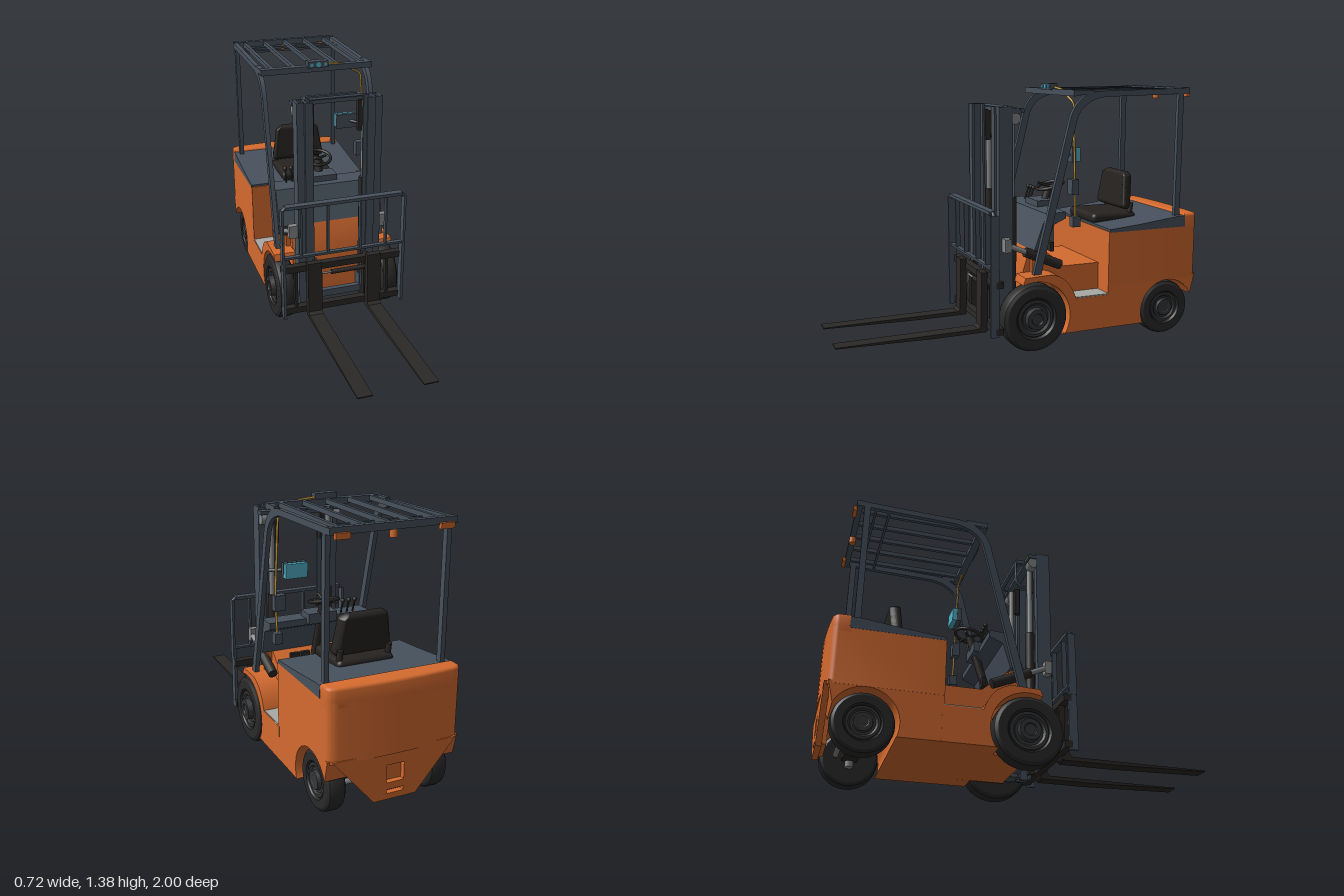
import * as THREE from 'three';
import { toCreasedNormals } from 'three/addons/utils/BufferGeometryUtils.js';
import { RoundedBoxGeometry } from 'three/addons/geometries/RoundedBoxGeometry.js';

const mat = (name, color) => {
  const m = new THREE.MeshStandardMaterial({ color });
  m.name = name;
  return m;
};

export function createModel() {
  const root = new THREE.Group();
  const orange = mat('orange paint', 0xd56b2f), slate = mat('slate steel', 0x47515d);
  const rubber = mat('black rubber', 0x292929), black = mat('black metal', 0x2b2927);
  const seatMat = mat('seat vinyl', 0x262321), plate = mat('light grey plate', 0xa9a9a5);
  const steel = mat('bare steel', 0x858788), cyan = mat('cyan glass', 0x55b4cd);
  const yellow = mat('yellow cable', 0xc8983c), hubMat = mat('dark hub', 0x353638);

  const add = (name, geo, m, x = 0, y = 0, z = 0) => {
    const mesh = new THREE.Mesh(geo, m);
    mesh.name = name;
    mesh.position.set(x, y, z);
    root.add(mesh);
    return mesh;
  };
  // box given by its limits
  const box = (name, m, x0, x1, y0, y1, z0, z1) =>
    add(name, new THREE.BoxGeometry(Math.abs(x1 - x0), y1 - y0, z1 - z0), m, (x0 + x1) / 2, (y0 + y1) / 2, (z0 + z1) / 2);
  const poly = (pts) => new THREE.Shape(pts.map((p) => new THREE.Vector2(p[0], p[1])));
  // extrude a (z, y) profile across x0..x1
  const side = (name, m, shape, x0, x1) => {
    const g = new THREE.ExtrudeGeometry(shape, { depth: x1 - x0, bevelEnabled: false, curveSegments: 16 });
    g.rotateY(-Math.PI / 2).translate(x1, 0, 0);
    return add(name, toCreasedNormals(g, 0.5), m);
  };
  const rod = (name, m, a, b, r, n = 14) => {
    const p = new THREE.Vector3(...a), q = new THREE.Vector3(...b);
    const mesh = add(name, new THREE.CylinderGeometry(r, r, p.distanceTo(q), n), m);
    mesh.position.copy(p).lerp(q, 0.5);
    mesh.quaternion.setFromUnitVectors(new THREE.Vector3(0, 1, 0), q.sub(p).normalize());
    return mesh;
  };
  const tube = (name, m, pts, r) => add(name, new THREE.TubeGeometry(
    new THREE.CatmullRomCurve3(pts.map((p) => new THREE.Vector3(...p)), false, 'catmullrom', 0.2), 40, r, 8), m);
  const both = (fn) => [-1, 1].forEach(fn);
  // span on one side of the model, ordered low to high
  const span = (s, a, b) => (s > 0 ? [a, b] : [-b, -a]);

  // --- wheels: tyre, dished rim and hub cap
  const lathe = (pts) => toCreasedNormals(new THREE.LatheGeometry(pts.map((p) => new THREE.Vector2(p[0], p[1])), 40), 0.5)
    .rotateZ(-Math.PI / 2);
  const wheel = (name, s, x, y, z, r, w, cap) => {
    const g = new THREE.Group();
    g.name = name;
    const tyre = new THREE.Mesh(lathe([[0, -w], [r * 0.88, -w], [r * 0.97, -w * 0.8], [r, -w * 0.5], [r, w * 0.5],
      [r * 0.97, w * 0.8], [r * 0.88, w], [r * 0.62, w], [r * 0.57, w * 0.75], [0, w * 0.6]]), rubber);
    tyre.name = 'tyre';
    const hub = new THREE.Mesh(lathe([[0, w * 0.5], [r * 0.54, w * 0.5], [r * 0.54, w * 0.88], [r * 0.46, w * 0.88],
      [r * 0.4, w * 0.7], [r * 0.32, w * 0.7], [r * 0.3, w + cap], [r * 0.18, w + cap], [r * 0.16, w + cap * 0.6], [0, w + cap * 0.6]]), hubMat);
    hub.name = 'hub';
    g.add(tyre, hub);
    g.position.set(s * x, y, z);
    if (s < 0) g.rotation.y = Math.PI;
    root.add(g);
  };
  both((s) => {
    wheel('frontWheel', s, 0.295, 0.185, -0.01, 0.18, 0.05, 0.015);
    wheel('rearWheel', s, 0.27, 0.15, -0.8, 0.15, 0.047, 0.005);
  });

  // --- chassis, cowl and floor tunnel
  side('frontCowl', orange, poly([[0.02, 0.085], [0.02, 0.4], [-0.02, 0.53], [-0.09, 0.53], [-0.22, 0.42], [-0.44, 0.42], [-0.44, 0.085]]), -0.225, 0.225);
  both((s) => {
    const f = poly([[-0.16, 0.085], [-0.28, 0.085], [-0.26, 0.2], [-0.235, 0.28]]);
    f.quadraticCurveTo(-0.19, 0.4, -0.09, 0.41);
    f.lineTo(0.05, 0.405);
    f.lineTo(0.06, 0.375);
    f.absarc(-0.01, 0.185, 0.195, 1.2, Math.PI + 0.54, false);
    side('frontFender', orange, f, ...span(s, 0.22, 0.34));
    box('stepBlock', orange, ...span(s, 0.22, 0.34), 0.085, 0.268, -0.44, -0.24);
    box('stepPlate', plate, ...span(s, 0.225, 0.338), 0.268, 0.274, -0.44, -0.245);
    box('cowlWing', orange, ...span(s, 0.22, 0.25), 0.4, 0.53, -0.08, -0.025);
  });

  // --- rear body with wheel tunnel, counterweight and tail
  const arch = poly([[-0.43, 0.085], [-0.645, 0.085]]);
  arch.absarc(-0.8, 0.15, 0.165, -0.41, -Math.PI - 0.42, false);
  const lower = poly([[-0.43, 0.33], [-0.43, 0.085], [-0.65, 0.085]]);
  for (let i = 0; i <= 14; i++) {
    const a = -0.35 + (i / 14) * (Math.PI - 0.1);
    lower.lineTo(-0.8 + 0.165 * Math.cos(a), 0.15 + 0.165 * Math.sin(a));
  }
  lower.lineTo(-0.975, 0.33);
  side('wheelArchBody', orange, lower, -0.339, 0.339);
  const plan = (s0) => {
    const p = poly([[-0.34, s0], [0.34, s0], [0.34, 0.95]]);
    p.quadraticCurveTo(0.335, 0.98, 0.29, 0.985);
    p.quadraticCurveTo(0, 1.012, -0.29, 0.985);
    p.quadraticCurveTo(-0.335, 0.98, -0.34, 0.95);
    return p;
  };
  const slab = (name, s0, y0, y1, bevel) => {
    const g = new THREE.ExtrudeGeometry(plan(s0), { depth: y1 - y0 - 2 * bevel, bevelEnabled: bevel > 0, bevelSize: bevel,
      bevelThickness: bevel, bevelOffset: -bevel, bevelSegments: 3, curveSegments: 10 });
    g.rotateX(-Math.PI / 2);
    add(name, toCreasedNormals(g, 0.6), orange, 0, y0 + bevel, 0);
  };
  slab('rearBody', 0.43, 0.315, 0.61, 0);
  slab('counterweightRidge', 0.895, 0.57, 0.676, 0.014);
  side('bonnetCover', slate, poly([[-0.435, 0.605], [-0.435, 0.622], [-0.62, 0.638], [-0.86, 0.665], [-0.9, 0.665], [-0.9, 0.605]]), -0.341, 0.341);
  const tail = poly([[-0.32, 0.33], [-0.11, 0.085], [0.11, 0.085], [0.32, 0.33]]);
  tail.holes.push(new THREE.Path([[-0.045, 0.17], [-0.045, 0.26], [0.045, 0.26], [0.045, 0.17]].map((p) => new THREE.Vector2(...p))));
  tail.holes.push(new THREE.Path([[-0.045, 0.115], [-0.045, 0.135], [0.045, 0.135], [0.045, 0.115]].map((p) => new THREE.Vector2(...p))));
  add('counterweightTail', new THREE.ExtrudeGeometry(tail, { depth: 0.03, bevelEnabled: false }), orange, 0, 0, -0.992);
  box('tailBacking', orange, -0.1, 0.1, 0.1, 0.32, -0.965, -0.94);

  // --- steering axle
  box('rearAxle', black, -0.2, 0.2, 0.12, 0.17, -0.84, -0.76);
  rod('steerCylinder', steel, [-0.2, 0.15, -0.87], [0.2, 0.15, -0.87], 0.014);
  both((s) => rod('kingpin', steel, [s * 0.2, 0.09, -0.8], [s * 0.2, 0.23, -0.8], 0.022));

  // --- dashboard, steering and levers
  side('dashboard', slate, poly([[-0.02, 0.53], [-0.09, 0.72], [-0.2, 0.725], [-0.2, 0.69], [-0.13, 0.66], [-0.09, 0.53]]), -0.285, 0.285);
  rod('steeringColumn', black, [0, 0.46, -0.12], [0, 0.815, -0.235], 0.022);
  box('columnHousing', slate, -0.08, 0.08, 0.7, 0.755, -0.23, -0.13);
  const sw = add('steeringWheel', new THREE.TorusGeometry(0.075, 0.009, 8, 32), black, 0, 0.825, -0.24);
  sw.rotation.x = -Math.PI / 2 + 0.25;
  for (let i = 0; i < 3; i++) {
    const a = Math.PI / 2 + (i * Math.PI * 2) / 3, dx = 0.07 * Math.cos(a), dz = 0.07 * Math.sin(a);
    rod('steeringSpoke', black, [0, 0.82, -0.24], [dx, 0.825 - dz * -0.25, -0.24 + dz], 0.007, 8);
  }
  for (let i = 0; i < 3; i++) {
    rod('lever', black, [-0.13 - i * 0.035, 0.7, -0.17], [-0.13 - i * 0.035, 0.79, -0.2], 0.005, 8);
    add('leverKnob', new THREE.SphereGeometry(0.012, 12, 8), black, -0.13 - i * 0.035, 0.795, -0.2);
  }
  [-0.09, 0.08, 0.14].forEach((x) => { box('pedal', black, x - 0.025, x + 0.025, 0.49, 0.54, -0.19, -0.17); });

  // --- seat
  add('seatCushion', new RoundedBoxGeometry(0.3, 0.055, 0.27, 4, 0.024), seatMat, 0, 0.645, -0.57);
  box('seatBase', seatMat, -0.13, 0.13, 0.605, 0.635, -0.7, -0.47);
  const back = new RoundedBoxGeometry(0.31, 0.21, 0.055, 8, 0.026);
  const bp = back.attributes.position;
  for (let i = 0; i < bp.count; i++) {
    const x = bp.getX(i), y = bp.getY(i);
    const k = 1 - 0.35 * Math.max(0, (y - 0.02) / 0.085) ** 2;
    bp.setX(i, x * k);
    bp.setZ(i, bp.getZ(i) + 1.7 * x * x);
  }
  back.computeVertexNormals();
  add('seatBack', back, seatMat, 0, 0.785, -0.685).rotation.x = -0.1;
  box('seatBackPad', seatMat, -0.1, 0.1, 0.7, 0.86, -0.675, -0.64);
  both((s) => rod('seatHinge', black, [s * 0.13, 0.65, -0.67], [s * 0.13, 0.72, -0.68], 0.015));

  // --- overhead guard
  both((s) => {
    const g = poly([[-0.05, 0.41], [-0.008, 0.41], [-0.205, 1.2]]);
    g.quadraticCurveTo(-0.24, 1.335, -0.38, 1.345);
    g.lineTo(-0.92, 1.355);
    g.lineTo(-0.92, 1.325);
    g.lineTo(-0.41, 1.315);
    g.quadraticCurveTo(-0.275, 1.3, -0.245, 1.2);
    side('guardPillar', slate, g, ...span(s, 0.288, 0.312));
    box('rearPillar', slate, ...span(s, 0.288, 0.312), 0.64, 1.335, -0.882, -0.85);
    box('frontGuardBracket', slate, ...span(s, 0.288, 0.312), 1.325, 1.35, -0.34, -0.225);
    box('rearLamp', orange, ...span(s, 0.22, 0.29), 1.308, 1.335, -0.935, -0.915);
  });
  box('frontRoofBar', slate, -0.31, 0.31, 1.32, 1.352, -0.265, -0.225);
  box('rearRoofBar', slate, -0.31, 0.31, 1.325, 1.358, -0.92, -0.89);
  [-0.82, -0.75].forEach((z) => { box('roofCrossBar', slate, -0.3, 0.3, 1.322, 1.334, z - 0.006, z + 0.006); });
  for (let i = -2; i <= 2; i++) box('roofSlat', slate, i * 0.123 - 0.009, i * 0.123 + 0.009, 1.328, 1.352, -0.9, -0.25);
  rod('rearBuzzer', orange, [0, 1.29, -0.905], [0, 1.325, -0.905], 0.018);

  // --- roof lamp, screen, boxes and cable
  box('lampHousing', slate, -0.057, 0.057, 1.345, 1.38, -0.255, -0.21);
  [-0.038, 0, 0.038].forEach((x, i) => { rod('lampLens', cyan, [x, 1.363, -0.212], [x, 1.363, -0.205], i === 1 ? 0.014 : 0.009); });
  box('screenHousing', slate, 0.12, 0.24, 0.975, 1.055, -0.28, -0.255);
  box('screenGlass', cyan, 0.122, 0.238, 0.978, 1.052, -0.305, -0.28);
  rod('screenArm', slate, [0.2, 1.015, -0.26], [0.295, 1.0, -0.18], 0.008);
  box('controlBox', slate, 0.23, 0.285, 0.81, 0.89, -0.275, -0.235);
  box('lowerBox', slate, 0.25, 0.29, 0.64, 0.695, -0.285, -0.24);
  tube('cable', yellow, [[0.05, 1.36, -0.24], [0.14, 1.35, -0.24], [0.21, 1.31, -0.245], [0.255, 1.28, -0.25],
    [0.265, 1.1, -0.252], [0.275, 0.88, -0.255], [0.27, 0.68, -0.262]], 0.006);

  // --- mast: outer channels, inner rails, cylinders, cross members
  both((s) => {
    const channel = (name, xo, xi, z0, z1, y0, y1) => {
      const t = 0.014;
      box(name, slate, ...span(s, xi, xo), y0, y1, z0, z0 + t);
      box(name, slate, ...span(s, xi, xo), y0, y1, z1 - t, z1);
      box(name, slate, ...span(s, xo - t, xo), y0, y1, z0, z1);
    };
    channel('outerMastRail', 0.228, 0.19, 0.075, 0.15, 0.1, 1.27);
    channel('innerMastRail', 0.188, 0.145, 0.085, 0.16, 0.1, 1.27);
    rod('liftCylinder', black, [s * 0.165, 0.12, 0.055], [s * 0.165, 0.8, 0.055], 0.024);
    rod('liftRod', steel, [s * 0.165, 0.8, 0.055], [s * 0.165, 1.24, 0.055], 0.015);
    rod('chainRoller', steel, [s * 0.17, 1.21, 0.06], [s * 0.225, 1.21, 0.06], 0.03);
    box('chain', black, ...span(s, 0.12, 0.142), 1.075, 1.24, 0.06, 0.09);
    box('mastFoot', slate, ...span(s, 0.14, 0.235), 0.1, 0.22, 0.02, 0.08);
    // tilt cylinder from chassis to mast
    rod('tiltCylinder', black, [s * 0.262, 0.44, -0.18], [s * 0.262, 0.525, 0.02], 0.026);
    rod('tiltRod', steel, [s * 0.262, 0.525, 0.02], [s * 0.262, 0.56, 0.1], 0.014);
    box('tiltBracket', steel, ...span(s, 0.225, 0.275), 0.53, 0.6, 0.1, 0.135);
  });
  box('mastTopBar', slate, -0.232, 0.232, 1.235, 1.255, 0.03, 0.075);
  rod('mastTopTie', slate, [-0.16, 1.265, 0.08], [0.16, 1.265, 0.08], 0.007);
  box('mastRearBar', slate, -0.16, 0.16, 1.235, 1.255, -0.02, 0.0);
  both((s) => { box('mastTopArm', slate, ...span(s, 0.14, 0.16), 1.235, 1.255, -0.02, 0.04); });
  box('mastLowerBar', slate, -0.2, 0.2, 0.12, 0.16, 0.06, 0.09);
  tube('hoseLoop', slate, [[-0.15, 1.245, 0.05], [-0.15, 1.25, 0], [-0.15, 1.235, -0.02], [-0.15, 1.12, -0.015], [-0.15, 1.09, 0.02], [-0.15, 1.1, 0.07]], 0.007);

  // --- carriage and load guard
  box('carriageTopBar', black, -0.34, 0.34, 0.365, 0.4, 0.17, 0.21);
  box('carriageLowBar', black, -0.34, 0.34, 0.12, 0.155, 0.17, 0.21);
  rod('sideShiftCylinder', black, [-0.06, 0.325, 0.185], [0.15, 0.325, 0.185], 0.013);
  rod('sideShiftRod', steel, [-0.15, 0.325, 0.185], [-0.06, 0.325, 0.185], 0.006);
  both((s) => {
    box('carriageEnd', slate, ...span(s, 0.325, 0.34), 0.11, 0.46, 0.195, 0.24);
    box('carriageUpright', black, ...span(s, 0.25, 0.265), 0.13, 0.39, 0.17, 0.2);
    box('carriageRoller', black, ...span(s, 0.13, 0.16), 0.12, 0.4, 0.14, 0.18);
    [0.09, 0.235].forEach((x) => { box('guardBar', slate, ...span(s, x - 0.005, x + 0.005), 0.46, 0.75, 0.205, 0.23); });
    box('guardEnd', slate, ...span(s, 0.33, 0.342), 0.4, 0.74, 0.2, 0.24);
    rod('guardCorner', slate, [s * 0.334, 0.735, 0.22], [s * 0.315, 0.753, 0.22], 0.009);
  });
  box('guardTop', slate, -0.32, 0.32, 0.743, 0.76, 0.2, 0.24);
  box('guardLowBar', slate, -0.335, 0.335, 0.458, 0.47, 0.205, 0.23);

  // --- forks
  both((s) => side('fork', black, poly([[0.205, 0.42], [0.205, 0.11], [0.215, 0.1], [0.5, 0.1], [1, 0.112], [1, 0.118],
    [0.26, 0.121], [0.245, 0.135], [0.24, 0.42]]), ...span(s, 0.128, 0.205)));

  return root;
}
